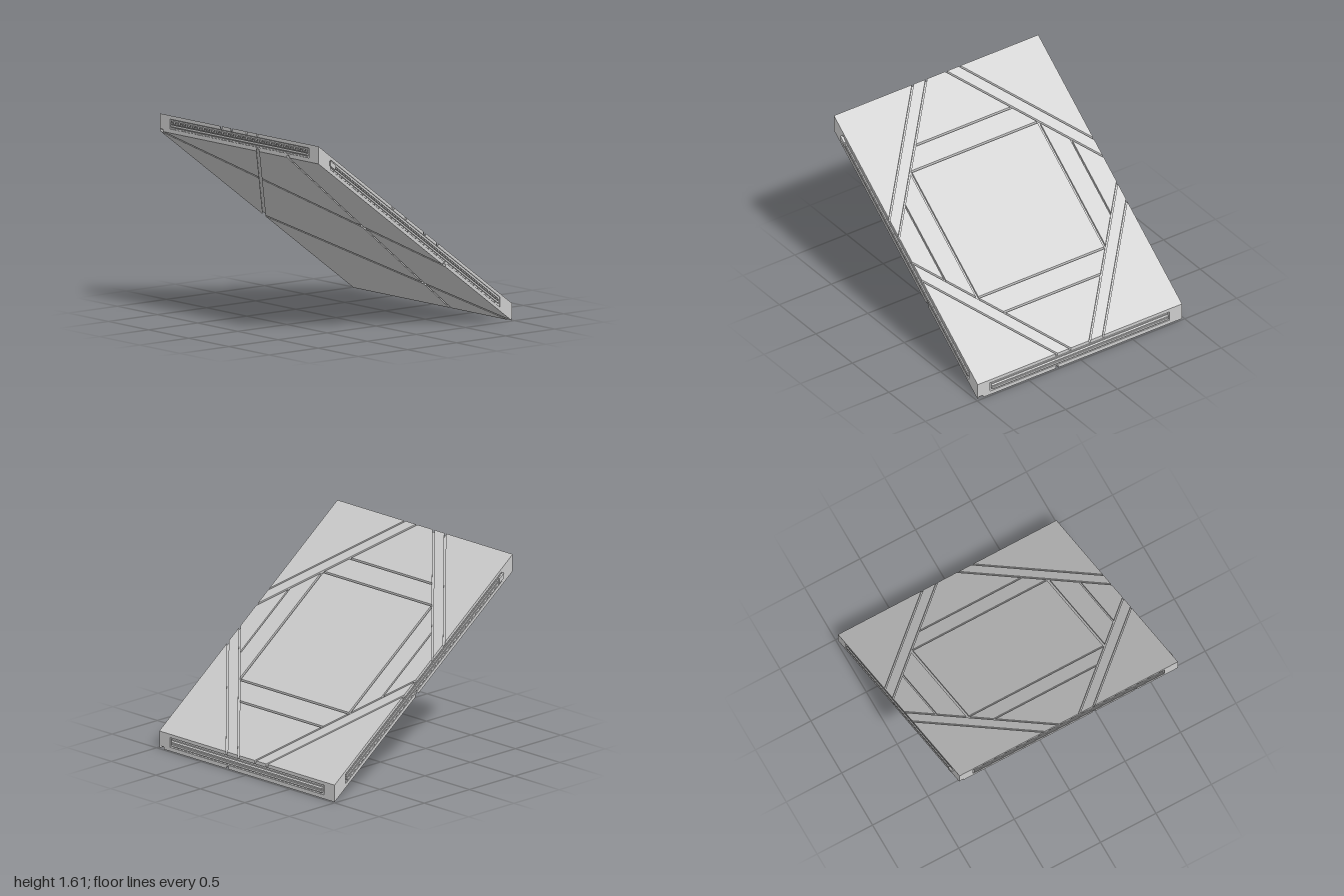
import * as THREE from 'three';

const HALF = 0.985;     // half width of the slab
const THICK = 0.14;     // vertical thickness
const DEPTH = 0.02;     // depth of the grooves
const SLOPE = 0.746;    // rise per unit of z
const LIFT = SLOPE * HALF;

const material = new THREE.MeshStandardMaterial({ color: 0xcccccc, flatShading: true });

// Everything is laid out flat, then sheared so that the front edge rises.
function addPart(parent, name, geometry) {
  const g = geometry.index ? geometry.toNonIndexed() : geometry;
  const p = g.attributes.position;
  for (let i = 0; i < p.count; i++) p.setY(i, p.getY(i) + p.getZ(i) * SLOPE + LIFT);
  g.computeVertexNormals();
  const mesh = new THREE.Mesh(g, material);
  mesh.name = name;
  parent.add(mesh);
}

// Box from its centre in plan and its lower and upper level.
function addBox(parent, name, x, z, w, d, low, high) {
  const g = new THREE.BoxGeometry(w, high - low, d);
  g.translate(x, (low + high) / 2, z);
  addPart(parent, name, g);
}

// Flat tile from a plan outline of [x, z] points.
function addTile(parent, name, outline, low, high) {
  const shape = new THREE.Shape(outline.map(([x, z]) => new THREE.Vector2(x, -z)));
  const g = new THREE.ExtrudeGeometry(shape, { depth: high - low, bevelEnabled: false });
  g.rotateX(-Math.PI / 2);
  g.translate(0, low, 0);
  addPart(parent, name, g);
}

// Keep the part of a convex outline where nx*x + nz*z >= c.
function clip(poly, nx, nz, c) {
  const out = [];
  poly.forEach((a, i) => {
    const b = poly[(i + 1) % poly.length];
    const da = nx * a[0] + nz * a[1] - c;
    const db = nx * b[0] + nz * b[1] - c;
    if (da >= 0) out.push(a);
    if (da * db < 0) {
      const t = da / (da - db);
      out.push([a[0] + (b[0] - a[0]) * t, a[1] + (b[1] - a[1]) * t]);
    }
  });
  return out;
}

// Saw an outline along a line, leaving a gap: [outer piece, inner piece].
function saw(poly, nx, nz, c, gap) {
  const l = Math.hypot(nx, nz);
  const [ux, uz, k] = [nx / l, nz / l, c / l];
  return [clip(poly, ux, uz, k + gap / 2), clip(poly, -ux, -uz, -k + gap / 2)];
}

const square = () => [[-HALF, -HALF], [HALF, -HALF], [HALF, HALF], [-HALF, HALF]];

// Upper face: corner triangles, diagonal bands, and a framed centre panel.
function createTopPanels() {
  const group = new THREE.Group();
  group.name = 'topPanels';
  const add = (name, poly) => addTile(group, name, poly, THICK - DEPTH, THICK);
  const gap = 0.013;
  let rest = square(), piece;
  for (const sx of [-1, 1]) for (const sz of [-1, 1]) {
    [piece, rest] = saw(rest, sx, sz, 1.21, gap);
    add('cornerPanel', piece);
    [piece, rest] = saw(rest, sx, sz, 1.08, gap);
    add('diagonalBand', piece);
  }
  const sides = [[0, -1, 0.46, 0.61], [0, 1, 0.46, 0.61], [-1, 0, 0.615, 0.8], [1, 0, 0.615, 0.8]];
  for (const [nx, nz, inner, outer] of sides) {
    [piece, rest] = saw(rest, nx, nz, inner, nx ? 0.02 : gap);
    const [edge, strip] = saw(piece, nx, nz, outer, gap);
    add('edgePanel', edge);
    add('innerStrip', strip);
  }
  add('centrePanel', rest);
  return group;
}

// Underside: slabs separated by straight cracks.
function createBottomPanels() {
  const group = new THREE.Group();
  group.name = 'bottomPanels';
  const cracks = [
    [-0.97, HALF, HALF, -0.295],
    [0.23, HALF, -HALF, -0.075],
    [-HALF, -0.075, 0.96, -HALF],
    [0.605, HALF, 0.22, -HALF],
  ];
  let pieces = [square()];
  for (const [x1, z1, x2, z2] of cracks) {
    const nx = z2 - z1, nz = x1 - x2;
    pieces = pieces.flatMap(p => saw(p, nx, nz, nx * x1 + nz * z1, 0.023)).filter(p => p.length > 2);
  }
  pieces.forEach(p => addTile(group, 'bottomPanel', p, 0, DEPTH));
  return group;
}

// Rim: recessed core with lips, corner posts, rails and a row of teeth.
function createBody() {
  const group = new THREE.Group();
  group.name = 'body';
  const W = HALF * 2;
  addBox(group, 'lowerLip', 0, 0, W, W, DEPTH, 0.032);
  addBox(group, 'core', 0, 0, W - 0.02, W - 0.02, 0.032, 0.112);
  addBox(group, 'upperLip', 0, 0, W, W, 0.112, THICK - DEPTH);
  for (const sx of [-1, 1]) for (const sz of [-1, 1]) {
    addBox(group, 'cornerPost', sx * 0.925, sz * 0.925, 0.12, 0.12, 0.032, 0.112);
  }
  for (const s of [-1, 1]) for (const alongX of [true, false]) {
    const place = (name, along, length, reach, low, high) => {
      const depth = reach - 0.95;
      const out = s * (0.95 + depth / 2);
      if (alongX) addBox(group, name, along, out, length, depth, low, high);
      else addBox(group, name, out, along, depth, length, low, high);
    };
    place('lowerRail', 0, 1.7, 0.99, 0.05, 0.066);
    place('upperRail', 0, 1.7, 0.99, 0.074, 0.084);
    place('topRail', 0, 1.7, 0.983, 0.09, 0.1);
    for (let i = 0; i < 40; i++) place('tooth', (i - 19.5) * 0.042, 0.02, 0.982, 0.034, 0.044);
  }
  // small latches on the two sides, near the front
  for (const s of [-1, 1]) addBox(group, 'latch', s * 0.985, 0.85, 0.03, 0.05, 0.055, 0.095);
  return group;
}

export function createModel() {
  const model = new THREE.Group();
  model.name = 'slopedPanel';
  model.add(createBody(), createTopPanels(), createBottomPanels());
  return model;
}
